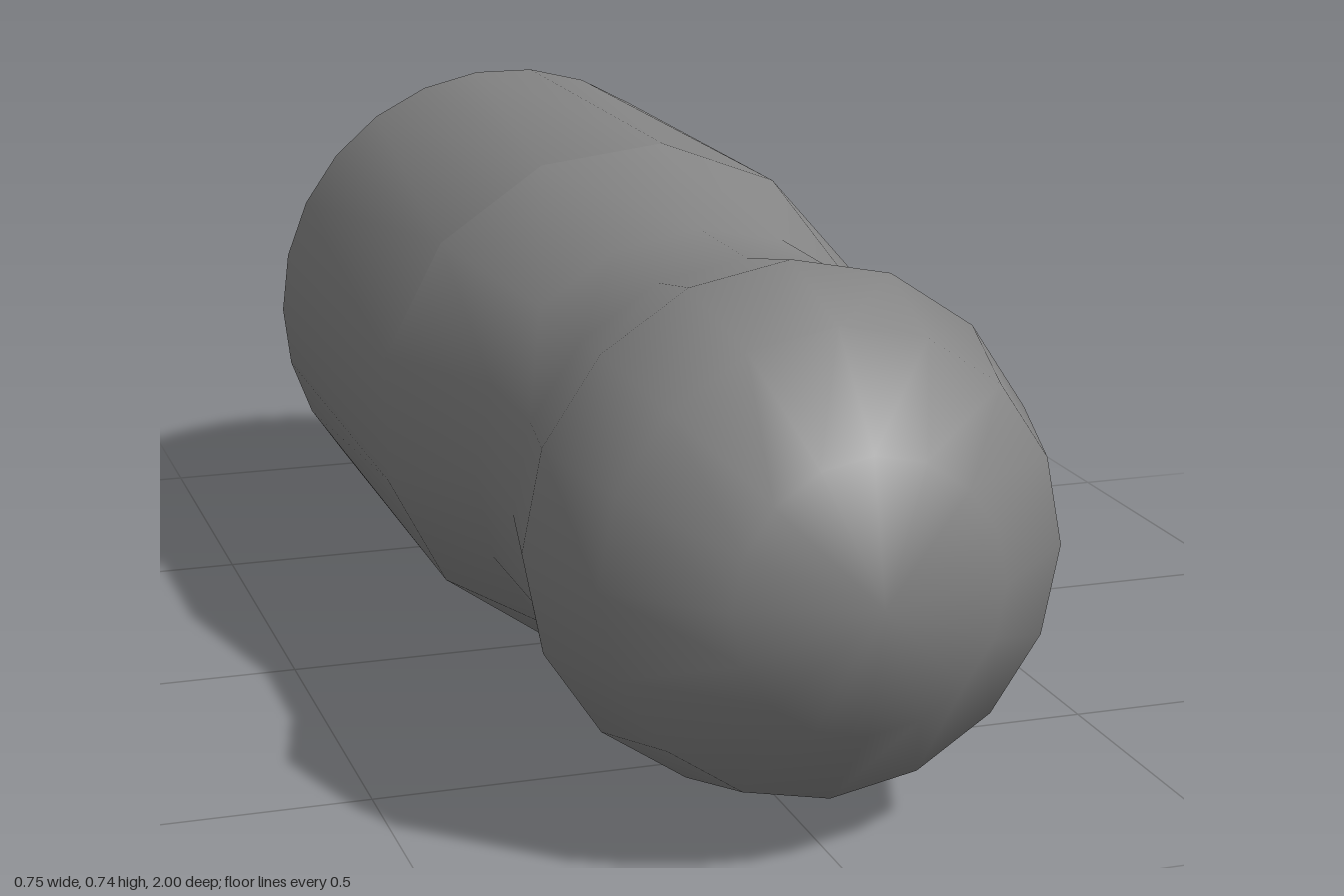
import * as THREE from 'three';

const CENTRE_Y = 0.375;

// A ring of the body: position along z, radius, side count
const ring = (z, r, n) => ({ z, r, n: r === 0 ? 1 : n });

// Skin a run of rings, ordered front to back; neighbouring rings may differ in side count
function loft(name, rings) {
  const positions = [], indices = [], first = [];
  for (const { z, r, n } of rings) {
    first.push(positions.length / 3);
    for (let i = 0; i < n; i++) {
      const a = (i / n) * Math.PI * 2;
      positions.push(Math.cos(a) * r, Math.sin(a) * r, z);
    }
  }
  for (let k = 0; k < rings.length - 1; k++) {
    const A = rings[k], B = rings[k + 1];
    const a = (i) => first[k] + (i % A.n), b = (j) => first[k + 1] + (j % B.n);
    const endA = A.n > 1 ? A.n : 0, endB = B.n > 1 ? B.n : 0;
    let i = 0, j = 0;
    while (i < endA || j < endB) {
      if (i < endA && (j >= endB || (i + 1) / A.n <= (j + 1) / B.n)) {
        indices.push(a(i), b(j), a(i + 1));
        i++;
      } else {
        indices.push(a(i), b(j), b(j + 1));
        j++;
      }
    }
  }
  const geometry = new THREE.BufferGeometry();
  geometry.setAttribute('position', new THREE.Float32BufferAttribute(positions, 3));
  geometry.setIndex(indices);
  geometry.computeVertexNormals();
  const mesh = new THREE.Mesh(geometry, new THREE.MeshStandardMaterial({ color: 0x858585 }));
  mesh.name = name;
  mesh.position.y = CENTRE_Y;
  return mesh;
}

export function createModel() {
  const group = new THREE.Group();
  group.name = 'capsule';

  // Rounded head, from the tip back, running smoothly into the flared neck
  const head = [0, 30, 60, 90].map((deg) => {
    const t = THREE.MathUtils.degToRad(deg);
    return ring(0.675 + 0.325 * Math.cos(t), deg === 0 ? 0 : 0.345 * Math.sin(t), 16);
  });
  const neck = [ring(0.515, 0.312, 16), ring(0.325, 0.312, 16), ring(0.03, 0.375, 13)];
  group.add(loft('headAndNeck', [...head, ...neck]));

  // Straight barrel running smoothly into the rear dome
  group.add(loft('barrel', [
    ring(0.03, 0.375, 13), ring(-0.66, 0.375, 26), ring(-0.885, 0.28, 26),
    ring(-0.957, 0.205, 26), ring(-1, 0.118, 26),
  ]));

  // Flat rear end
  group.add(loft('rearCap', [ring(-1, 0.118, 26), ring(-1, 0, 1)]));

  return group;
}
